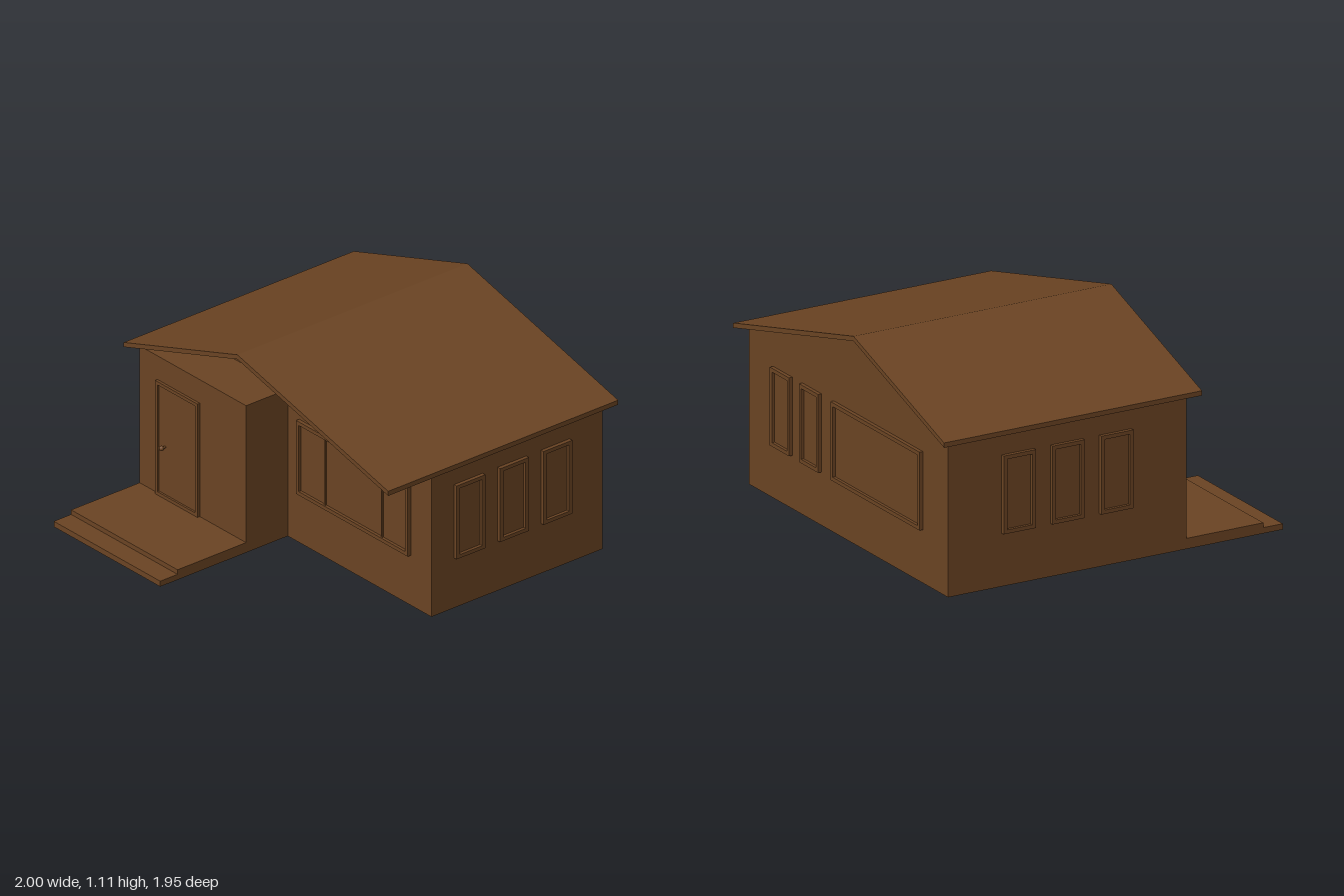
import * as THREE from 'three';

const material = new THREE.MeshStandardMaterial({ color: 0x6b4423 });

function add(parent, name, geometry, x = 0, y = 0, z = 0) {
  const mesh = new THREE.Mesh(geometry, material);
  mesh.name = name;
  mesh.position.set(x, y, z);
  parent.add(mesh);
  return mesh;
}

// Box given by its lower and upper corners
function block(parent, name, [x0, y0, z0], [x1, y1, z1]) {
  const geometry = new THREE.BoxGeometry(x1 - x0, y1 - y0, z1 - z0);
  return add(parent, name, geometry, (x0 + x1) / 2, (y0 + y1) / 2, (z0 + z1) / 2);
}

function extrude(points, depth) {
  const shape = new THREE.Shape(points.map(([x, y]) => new THREE.Vector2(x, y)));
  return new THREE.ExtrudeGeometry(shape, { depth, bevelEnabled: false });
}

// Rectangular frame with a slightly raised panel inside, facing +z, standing on y = 0
function framedPanel(name, width, height, depth, border = 0.02) {
  const group = new THREE.Group();
  group.name = name;
  const w = width / 2;
  const shape = new THREE.Shape();
  shape.moveTo(-w, 0).lineTo(w, 0).lineTo(w, height).lineTo(-w, height).closePath();
  const hole = new THREE.Path();
  const b = border;
  hole.moveTo(-w + b, b).lineTo(-w + b, height - b).lineTo(w - b, height - b).lineTo(w - b, b).closePath();
  shape.holes.push(hole);
  add(group, 'frame', new THREE.ExtrudeGeometry(shape, { depth, bevelEnabled: false }));
  block(group, 'panel', [-w + b, b, 0], [w - b, height - b, 0.004]);
  return group;
}

export function createModel() {
  const house = new THREE.Group();
  house.name = 'house';

  const side = 0.945, ridgeX = -0.14, back = -0.92, mainFront = 0.165, wingFront = 0.43;

  // Main body with gable ends
  add(house, 'mainWalls', extrude([
    [-side, 0], [side, 0], [side, 0.814], [ridgeX, 1.085], [-side, 0.818],
  ], mainFront - back), 0, 0, back);

  // Flat-topped entrance wing
  block(house, 'entranceWing', [-side, 0, mainFront], [ridgeX, 0.81, wingFront]);

  // Asymmetric gable roof
  add(house, 'roof', extrude([
    [-1, 0.8], [ridgeX, 1.085], [1, 0.8], [1, 0.825], [ridgeX, 1.11], [-1, 0.825],
  ], 1.46), 0, 0, -0.975);

  // Porch and step
  block(house, 'porch', [-side, 0, wingFront], [ridgeX, 0.055, 0.865]);
  block(house, 'porchStep', [-side, 0, 0.865], [ridgeX, 0.03, 0.975]);

  // Windows: [name, width, x, z, turn about y]
  const sill = 0.275, windowHeight = 0.405, depth = 0.02;
  const windows = [
    ['frontWindow', 0.845, 0.368, mainFront, 0],
    ['backLargeWindow', 0.845, -0.285, back, Math.PI],
    ['backSmallWindow', 0.182, 0.345, back, Math.PI],
    ['backSmallWindow', 0.182, 0.622, back, Math.PI],
  ];
  for (let i = 0; i < 3; i++) {
    windows.push(['leftWindow', 0.182, side, -0.07 - 0.276 * i, Math.PI / 2]);
    windows.push(['rightWindow', 0.182, -side, 0.027 - 0.276 * i, -Math.PI / 2]);
  }
  for (const [name, width, x, z, turn] of windows) {
    const win = framedPanel(name, width, windowHeight, depth);
    win.position.set(x, sill, z);
    win.rotation.y = turn;
    house.add(win);
    if (name === 'frontWindow') {
      for (const s of [-1, 1]) {
        block(win, 'mullion', [s * 0.215 - 0.005, 0.02, 0], [s * 0.215 + 0.005, windowHeight - 0.02, 0.012]);
      }
    }
  }

  // Door with knob
  const door = framedPanel('door', 0.32, 0.625, 0.015, 0.018);
  door.position.set(-0.65, 0.055, wingFront);
  house.add(door);
  const stem = add(door, 'knobStem', new THREE.CylinderGeometry(0.006, 0.006, 0.026, 16), -0.097, 0.28, 0.013);
  stem.rotation.x = Math.PI / 2;
  add(door, 'knob', new THREE.SphereGeometry(0.013, 20, 14), -0.097, 0.28, 0.027);

  return house;
}
